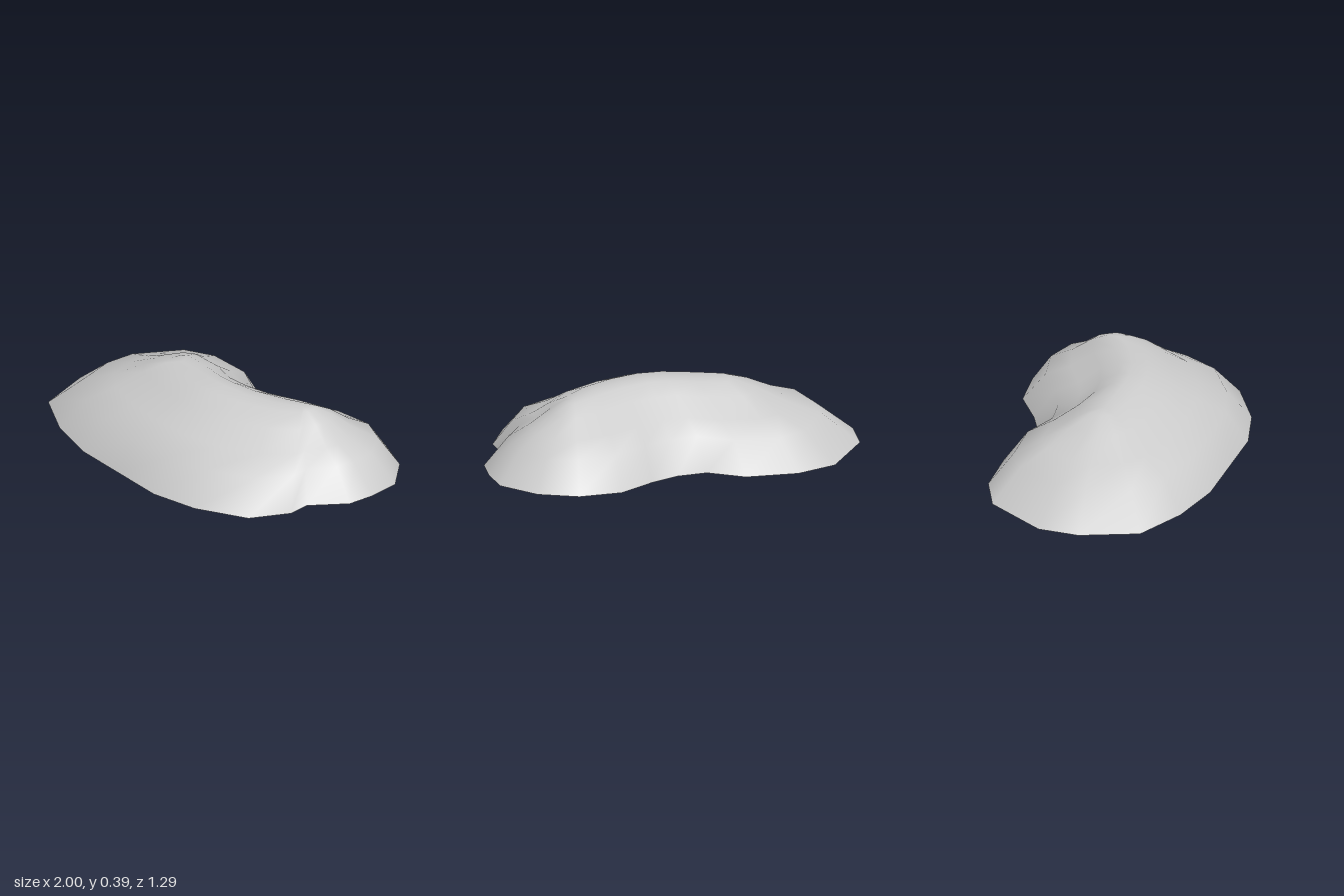
import * as THREE from 'three';
import { mergeVertices } from 'three/addons/utils/BufferGeometryUtils.js';

// Rim of the mound seen from above: x, z, and the x of the ridge point it rises to
const RIM = [
  [-1, -0.07, -0.26], [-0.81, -0.39, -0.26], [-0.6, -0.485, -0.26], [-0.32, -0.495, -0.12],
  [-0.13, -0.4, 0.02], [0.03, -0.425, 0.12], [0.18, -0.5, 0.25], [0.36, -0.625, 0.4],
  [0.59, -0.65, 0.53], [0.8, -0.58, 0.53], [0.97, -0.42, 0.53], [1, -0.25, 0.53],
  [1, -0.1, 0.53], [0.88, 0.09, 0.53], [0.9, 0.21, 0.53], [0.81, 0.42, 0.4],
  [0.55, 0.575, 0.25], [0.29, 0.645, 0.12], [-0.02, 0.645, 0.02], [-0.32, 0.645, -0.12],
  [-0.61, 0.58, -0.26], [-0.88, 0.45, -0.26], [-1, 0.15, -0.26],
];

// Curved ridge: x, y, z
const RIDGE = [[-0.26, 0.37, 0.04], [0.08, 0.39, 0.06], [0.25, 0.383, 0.02], [0.4, 0.377, -0.05], [0.53, 0.37, -0.15]];

// Slope from rim to ridge: inward fraction on the front, on the ends, height fraction
const SLOPE = [
  [0, 0, 0], [0.16, 0.27, 0.44], [0.41, 0.5, 0.62], [0.62, 0.73, 0.85], [0.84, 0.9, 0.985], [1, 1, 1],
];

function ridgeAt(x) {
  let i = 0;
  while (i < RIDGE.length - 2 && x > RIDGE[i + 1][0]) i++;
  const [a, b] = [RIDGE[i], RIDGE[i + 1]];
  const t = (x - a[0]) / (b[0] - a[0]);
  return new THREE.Vector3(...a).lerp(new THREE.Vector3(...b), t);
}

export function createModel() {
  const group = new THREE.Group();
  const { lerp } = THREE.MathUtils;
  const n = RIM.length;
  const positions = [];
  const index = [];

  // Rings climbing from the rim until they meet along the ridge
  for (const [front, end, height] of SLOPE) {
    for (const [x, z, ridgeX] of RIM) {
      const top = ridgeAt(ridgeX);
      const sideways = Math.abs(x - top.x) / Math.hypot(x - top.x, z - top.z);
      // The back slopes are gentler than the front
      const inward = lerp(front, end, z < top.z ? Math.max(sideways, 0.5) : sideways);
      const base = 0.005 + 0.005 * x;
      positions.push(lerp(x, top.x, inward), lerp(base, top.y, height), lerp(z, top.z, inward));
    }
  }
  for (let r = 0; r < SLOPE.length - 1; r++) {
    for (let i = 0; i < n; i++) {
      const j = (i + 1) % n;
      const a = r * n + i, b = r * n + j, c = a + n, d = b + n;
      index.push(a, c, b, b, c, d);
    }
  }

  // Weld the ridge so the top shades smoothly
  const rings = new THREE.BufferGeometry();
  rings.setAttribute('position', new THREE.Float32BufferAttribute(positions, 3));
  rings.setIndex(index);
  const geometry = mergeVertices(rings);
  geometry.computeVertexNormals();

  // Hollow shell, open underneath
  const mound = new THREE.Mesh(geometry,
    new THREE.MeshStandardMaterial({ color: 0xcccccc, side: THREE.DoubleSide }));
  mound.name = 'moundShell';
  group.add(mound);
  return group;
}
